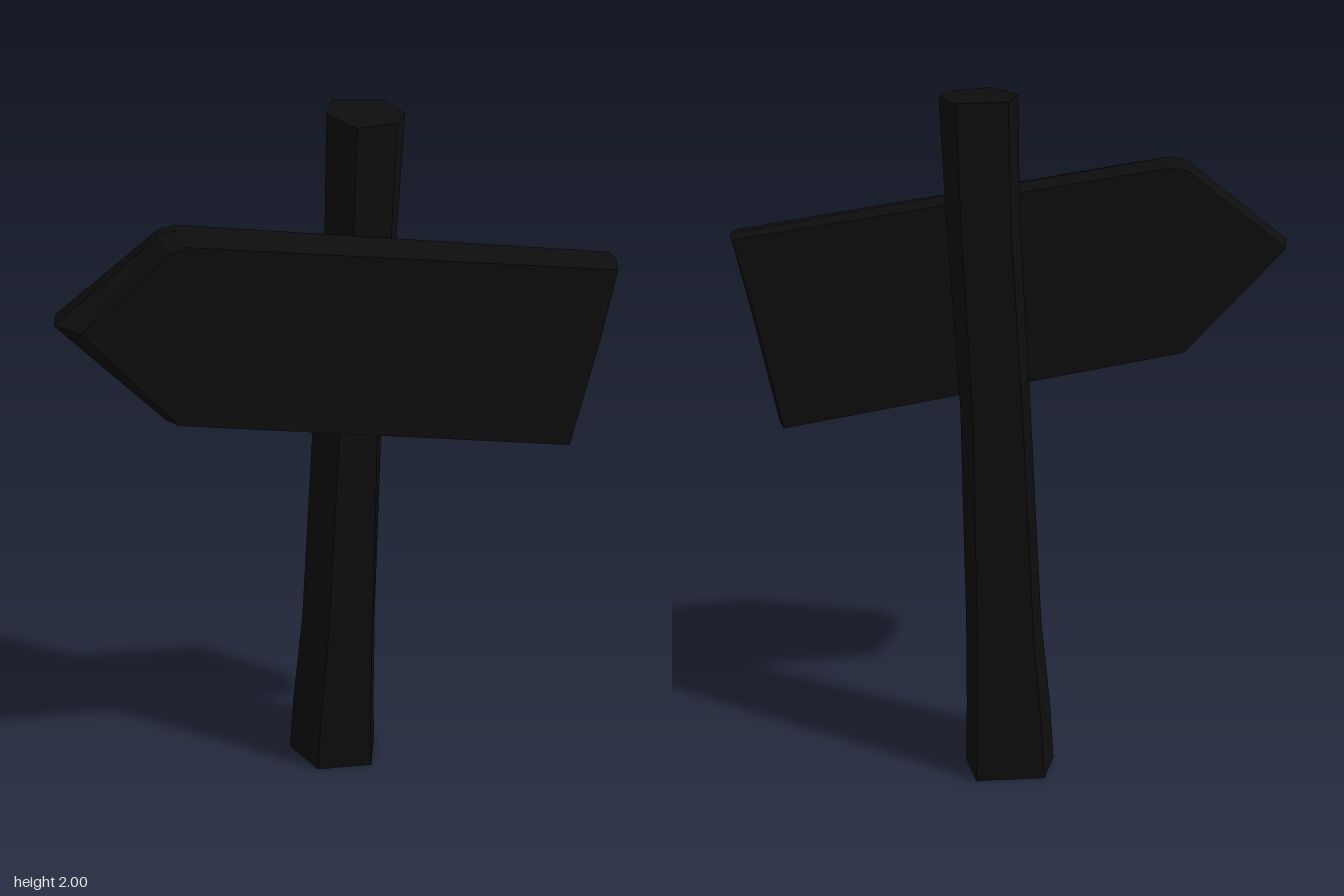
import * as THREE from 'three';

const material = new THREE.MeshStandardMaterial({ color: 0x0d0d0d, flatShading: true });

// Joins loops of equal length (counter-clockwise seen from the last one) and caps both ends
function loft(name, loops) {
  const n = loops[0].length;
  const last = (loops.length - 1) * n;
  const index = [];
  for (let k = 0; k < loops.length - 1; k++) {
    for (let i = 0; i < n; i++) {
      const a = k * n + i, b = k * n + (i + 1) % n;
      index.push(a, b, b + n, a, b + n, a + n);
    }
  }
  for (let i = 1; i < n - 1; i++) {
    index.push(0, i + 1, i, last, last + i, last + i + 1);
  }
  const indexed = new THREE.BufferGeometry();
  indexed.setAttribute('position', new THREE.Float32BufferAttribute(loops.flat(2), 3));
  indexed.setIndex(index);
  const geometry = indexed.toNonIndexed();
  geometry.computeVertexNormals();
  const mesh = new THREE.Mesh(geometry, material);
  mesh.name = name;
  return mesh;
}

// Six-sided post: rough hexagon sections that flare out and lean back towards the foot
function createPost() {
  const foot = [[0, 0.4], [0.18, 0.93], [0.8, 1], [1, 0.5], [0.95, 0.05], [0.18, 0]];
  const head = [[0, 0.45], [0.25, 1], [0.8, 0.92], [1, 0.62], [0.85, 0.1], [0.2, 0]];
  // height, x range, z range
  const levels = [
    [0, -0.09, 0.165, -0.225, 0.055],
    [0.18, -0.08, 0.16, -0.212, 0.055],
    [0.45, -0.055, 0.158, -0.197, 0.055],
    [1.1, -0.027, 0.165, -0.165, 0.06],
    [1.65, 0, 0.195, -0.142, 0.075],
    [1.985, 0.002, 0.21, -0.13, 0.08],
  ];
  const { lerp } = THREE.MathUtils;
  const loops = levels.map(([y, x0, x1, z0, z1]) => foot.map(([u, v], i) => {
    const t = y / 1.985;
    return [
      lerp(x0, x1, lerp(u, head[i][0], t)),
      y,
      lerp(z0, z1, lerp(v, head[i][1], t)),
    ];
  }));
  // Crowned, unevenly cut top
  const tops = [1.99, 1.98, 1.98, 1.985, 1.995, 2];
  loops.at(-1).forEach((p, i) => { p[1] = tops[i]; });
  return loft('post', loops);
}

// Arrow board: back, middle and front outlines, starting at the tip
function createBoard() {
  const back = [
    [-0.75, 1.51, -0.015], [-0.47, 1.215, -0.01], [0.65, 1.035, 0.05], [0.715, 1.36, 0.085],
    [0.765, 1.575, 0.11], [-0.43, 1.745, 0.03], [-0.475, 1.735, 0.025],
  ];
  const middle = [
    [-0.77, 1.51, 0.065], [-0.48, 1.205, 0.07], [0.657, 1.03, 0.115], [0.722, 1.36, 0.15],
    [0.768, 1.577, 0.16], [-0.44, 1.755, 0.1], [-0.485, 1.745, 0.095],
  ];
  const front = [
    [-0.71, 1.505, 0.13], [-0.46, 1.22, 0.15], [0.65, 1.035, 0.18], [0.715, 1.36, 0.21],
    [0.75, 1.565, 0.225], [-0.43, 1.73, 0.167], [-0.47, 1.715, 0.163],
  ];
  return loft('arrowBoard', [back, middle, front]);
}

export function createModel() {
  const group = new THREE.Group();
  group.name = 'signpost';
  group.add(createPost(), createBoard());
  return group;
}
